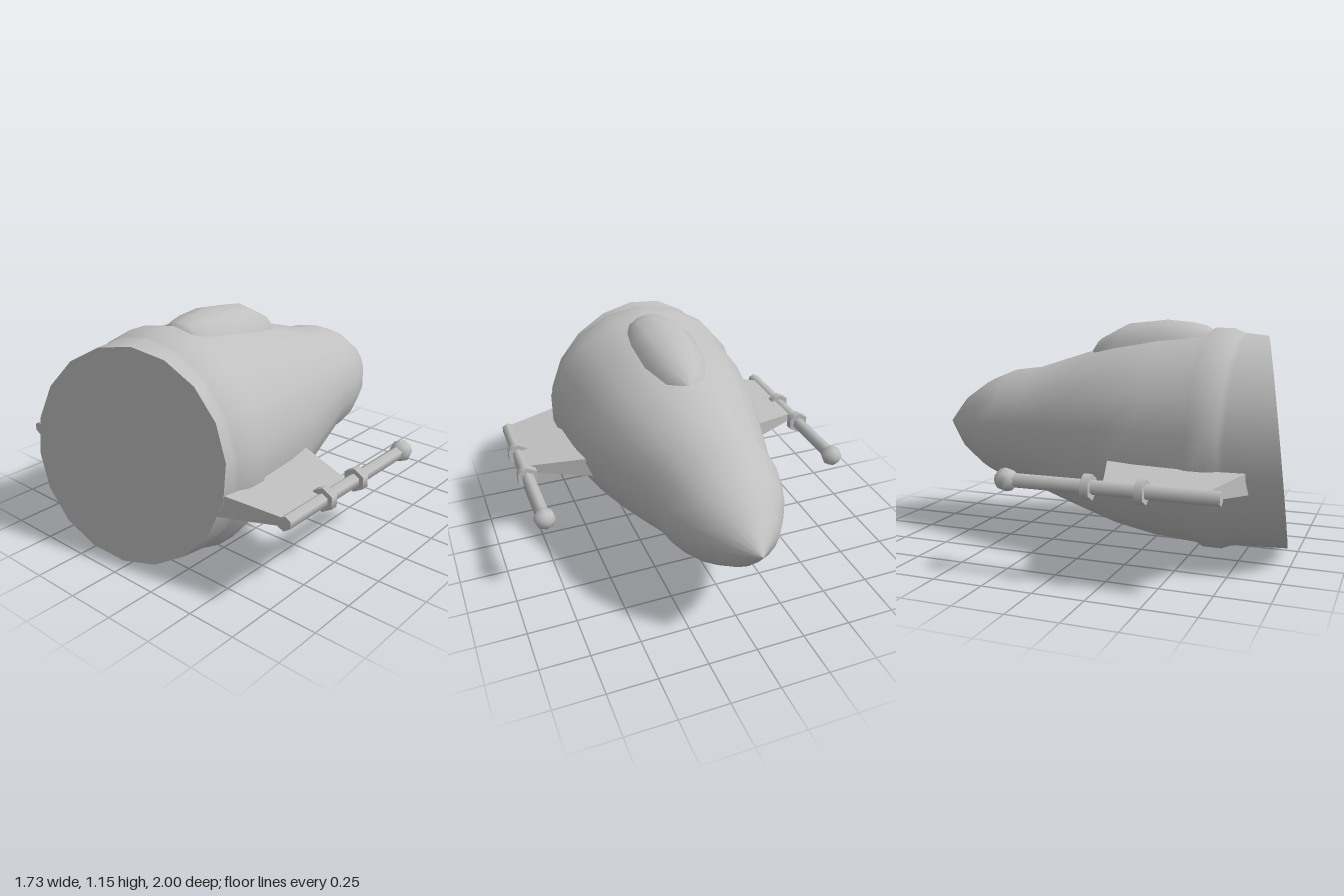
import * as THREE from 'three';

const AXIS_Y = 0.565;
const SIDES = 18;
const TAIL_R = 0.523;

// slanted plane that trims the tail, right wing and right rod
const tailZ = (x, y) => 0.882 - 0.2 * x - 0.115 * (y - AXIS_Y);

function mapVertices(geo, rule) {
  const p = geo.attributes.position;
  const v = new THREE.Vector3();
  for (let i = 0; i < p.count; i++) {
    v.fromBufferAttribute(p, i);
    rule(v);
    p.setXYZ(i, v.x, v.y, v.z);
  }
  return geo;
}

const trim = (v) => { v.z = Math.min(v.z, tailZ(v.x, v.y)); };

export function createModel() {
  const group = new THREE.Group();
  const grey = new THREE.MeshStandardMaterial({ color: 0xc0c0c0 });
  grey.name = 'hull grey';

  const add = (name, geo, parent = group) => {
    const mesh = new THREE.Mesh(geo, grey);
    mesh.name = name;
    parent.add(mesh);
    return mesh;
  };

  // hull: turned profile of [radius, z], nose to tail
  const profile = [
    [0, -1], [0.155, -0.86], [0.255, -0.71], [0.31, -0.57], [0.33, -0.42],
    [0.425, -0.12], [0.485, 0.08], [0.525, 0.3], [0.541, 0.52], [0.559, 0.555],
    [0.559, 0.65], [0.538, 0.7], [0.534, 0.73], [TAIL_R, 1.2],
  ].map(([r, z]) => new THREE.Vector2(r, z));
  const hull = new THREE.LatheGeometry(profile, SIDES);
  hull.rotateX(Math.PI / 2).translate(0, AXIS_Y, 0);
  add('hull', mapVertices(hull, trim));

  // flat slanted tail face
  const tail = new THREE.CircleGeometry(TAIL_R, SIDES, Math.PI / 2);
  tail.translate(0, AXIS_Y, 0);
  mapVertices(tail, (v) => { v.z = tailZ(v.x, v.y); });
  tail.computeVertexNormals();
  add('tailFace', tail);

  // canopy: half-ellipse sections [z, half width, base y, top y]
  const sections = [
    [-0.125, 0.005, 0.96, 0.98], [-0.06, 0.115, 0.95, 1.06], [0.09, 0.178, 0.975, 1.138],
    [0.3, 0.188, 1.0, 1.161], [0.43, 0.168, 1.01, 1.15], [0.51, 0.13, 1.03, 1.135],
    [0.545, 0.08, 1.04, 1.11], [0.555, 0.005, 1.04, 1.07],
  ];
  const steps = 6;
  const positions = [];
  const index = [];
  sections.forEach(([z, w, base, top], i) => {
    for (let j = 0; j <= steps; j++) {
      const a = (j / steps) * Math.PI;
      positions.push(w * Math.cos(a), base + (top - base) * Math.sin(a), z);
      if (i > 0 && j > 0) {
        const d = i * (steps + 1) + j;
        const c = d - 1, b = d - steps - 1, e = b - 1;
        index.push(e, b, c, b, d, c);
      }
    }
  });
  const canopy = new THREE.BufferGeometry();
  canopy.setAttribute('position', new THREE.Float32BufferAttribute(positions, 3));
  canopy.setIndex(index);
  canopy.computeVertexNormals();
  add('canopy', canopy);

  // wings with their rods
  for (const side of [1, -1]) {
    const wingGroup = new THREE.Group();
    wingGroup.name = side > 0 ? 'leftWingAssembly' : 'rightWingAssembly';
    group.add(wingGroup);

    // tapered wing panel
    const wing = mapVertices(new THREE.BoxGeometry(1, 1, 1), (v) => {
      const tip = v.x * side > 0;
      const rear = v.z > 0;
      v.x = side * (tip ? 0.8 : 0.46);
      v.y = 0.455 + 2 * v.y * (tip ? 0.02 : 0.057);
      v.z = tip ? (rear ? 0.723 : 0.256) : (rear ? 0.853 : 0.147);
      trim(v);
    });
    wing.computeVertexNormals();
    add('wing', wing, wingGroup);

    // six-sided bar lying along z
    const bar = (radius, z0, z1) => {
      const geo = new THREE.CylinderGeometry(radius, radius, z1 - z0, 6);
      geo.rotateX(Math.PI / 2).translate(side * 0.808, 0.455, (z0 + z1) / 2);
      return mapVertices(geo, trim);
    };
    add('rod', bar(0.034, -0.2, 0.79), wingGroup);
    for (const z of [0.19, 0.44]) add('rodCollar', bar(0.06, z - 0.02, z + 0.02), wingGroup);

    // ball on the rod's end
    const ball = new THREE.SphereGeometry(0.056, 8, 6);
    ball.rotateX(Math.PI / 2).translate(side * 0.808, 0.455, -0.215);
    add('rodBall', ball, wingGroup);
  }

  return group;
}
